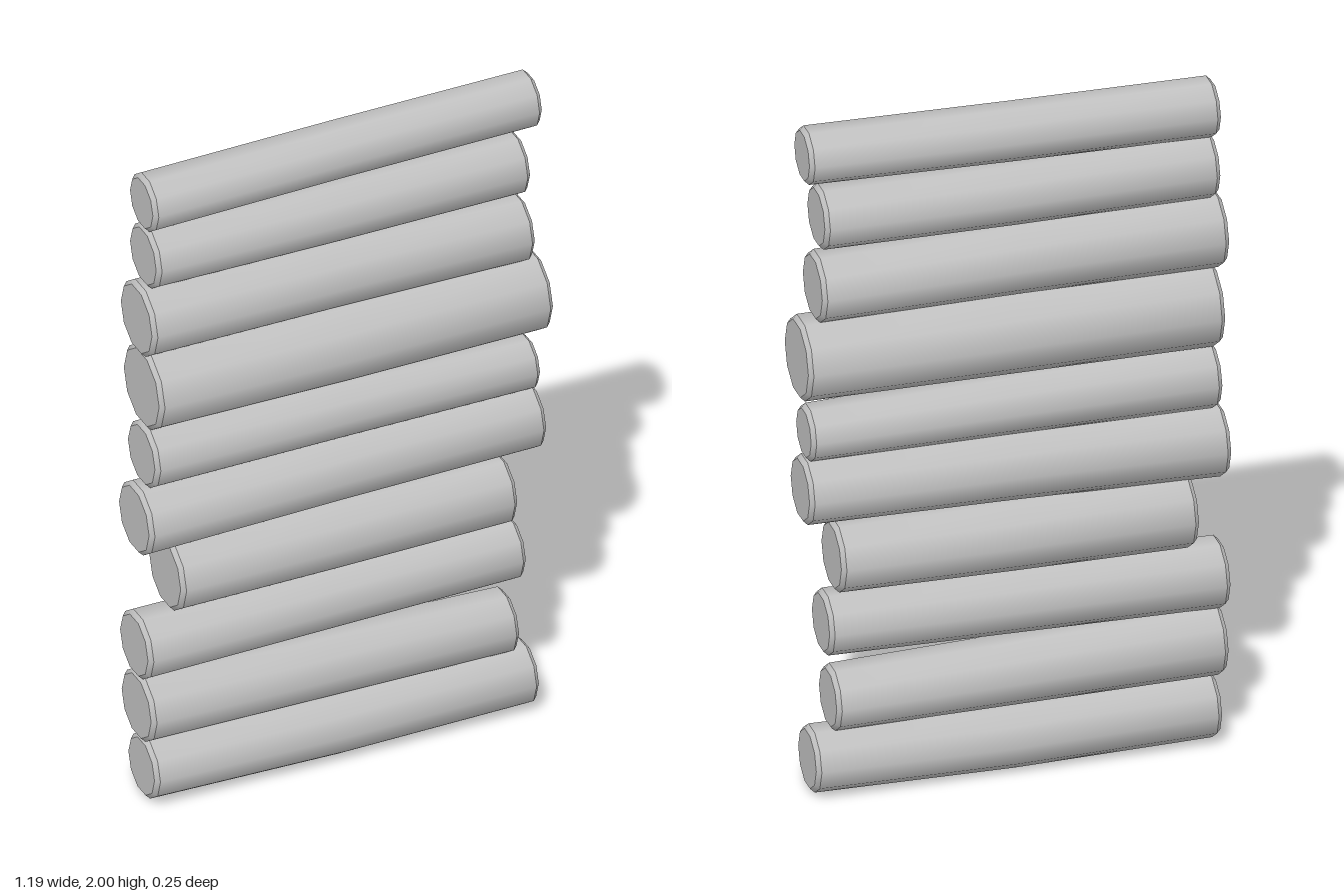
import * as THREE from 'three';
import { toCreasedNormals } from 'three/addons/utils/BufferGeometryUtils.js';

const SIDES = 10;
const FLAT = Math.cos(Math.PI / SIDES); // half height of the ten-sided section per unit radius

// Each log: left x, right x, left [top, bottom], right [top, bottom], middle offset [y, z]
const LOGS = [
  [-0.575, 0.565, [0.193, 0.013], [0.193, 0.013], [-0.009, 0]],
  [-0.59, 0.507, [0.40, 0.20], [0.367, 0.19], [0, 0]],
  [-0.597, 0.527, [0.59, 0.40], [0.597, 0.42], [0, 0]],
  [-0.505, 0.497, [0.808, 0.597], [0.803, 0.607], [-0.002, 0]],
  [-0.597, 0.585, [1.0, 0.797], [1.01, 0.823], [0.003, 0]],
  [-0.575, 0.575, [1.19, 1.005], [1.163, 1.01], [0.002, 0]],
  [-0.575, 0.595, [1.43, 1.195], [1.428, 1.20], [-0.002, 0.003]],
  [-0.59, 0.55, [1.64, 1.43], [1.62, 1.428], [0.003, 0]],
  [-0.57, 0.54, [1.82, 1.64], [1.82, 1.645], [-0.003, 0]],
  [-0.575, 0.58, [1.98, 1.82], [2.0, 1.845], [0, -0.004]],
];

// Tapered, slightly bent log with chamfered ends, lying along x
function logGeometry([x0, x1, left, right, [bendY, bendZ]]) {
  const r0 = (left[0] - left[1]) / 2 / FLAT;
  const r1 = (right[0] - right[1]) / 2 / FLAT;
  const y0 = (left[0] + left[1]) / 2;
  const y1 = (right[0] + right[1]) / 2;
  const b = 0.012;
  const profile = [
    [0, x0], [r0 - b, x0], [r0, x0 + b],
    [(r0 + r1) / 2, (x0 + x1) / 2],
    [r1, x1 - b], [r1 - b, x1], [0, x1],
  ].map(([r, x]) => new THREE.Vector2(r, x));
  const geo = new THREE.LatheGeometry(profile, SIDES).rotateZ(-Math.PI / 2);

  // Lean the axis from one end height to the other and bend it at the middle
  const pos = geo.attributes.position;
  for (let i = 0; i < pos.count; i++) {
    const t = (pos.getX(i) - x0) / (x1 - x0);
    const bend = 1 - Math.abs(2 * t - 1);
    pos.setY(i, pos.getY(i) + y0 + (y1 - y0) * t + bendY * bend);
    pos.setZ(i, pos.getZ(i) + bendZ * bend);
  }
  return toCreasedNormals(geo, 0.7);
}

export function createModel() {
  const group = new THREE.Group();
  group.name = 'logWall';
  const wood = new THREE.MeshStandardMaterial({ color: 0xc0c0c0 });
  wood.name = 'plain grey';
  LOGS.forEach((spec, i) => {
    const log = new THREE.Mesh(logGeometry(spec), wood);
    log.name = `log${i + 1}`;
    group.add(log);
  });
  return group;
}
